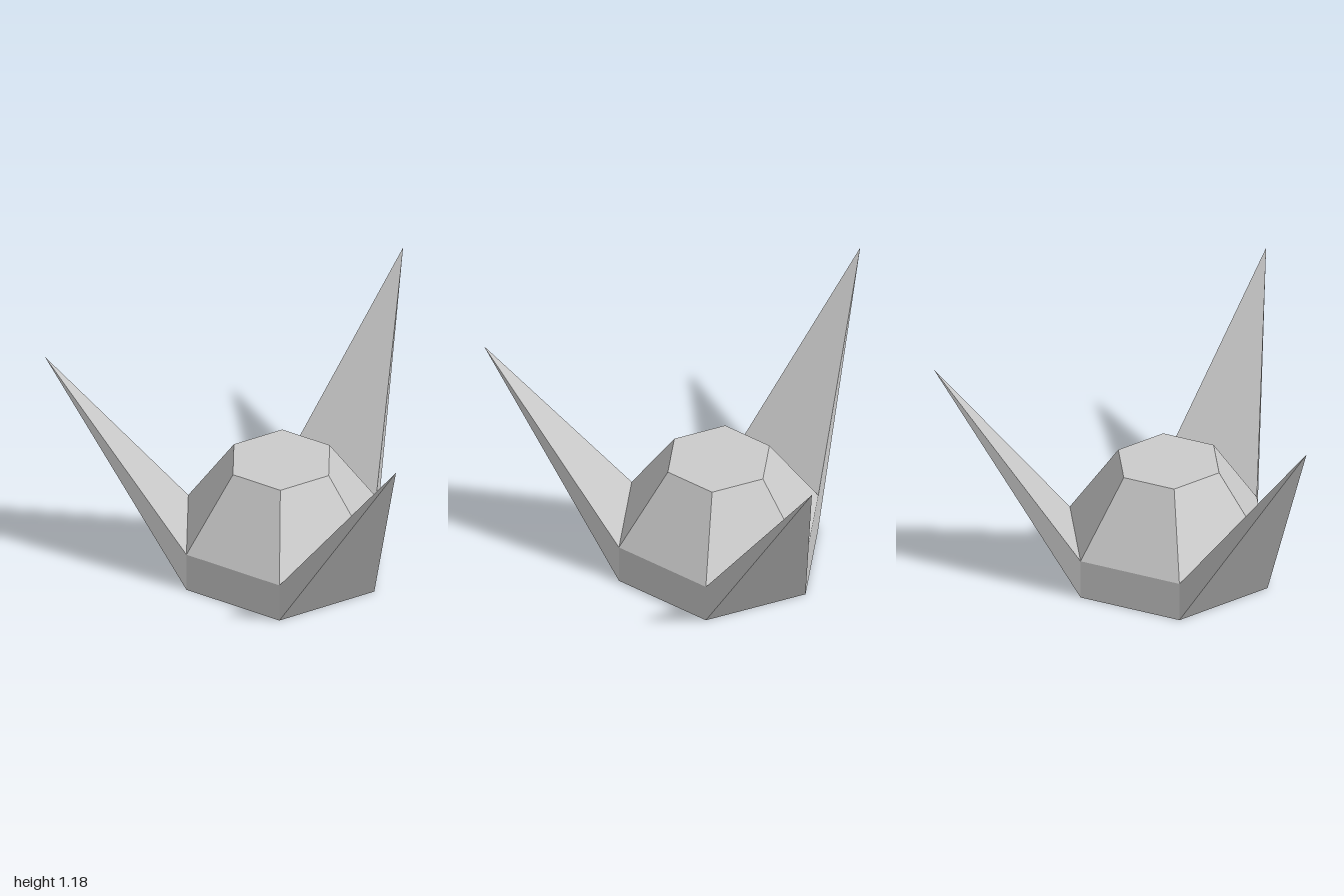
import * as THREE from 'three';

const RADIUS = 0.53, RIM_Y = 0.205, TOP_RADIUS = 0.27, TOP_Y = 0.59;
const TIP_REACH = 1.155, TIP_Y = 1.18;

// Four-sided spike growing outward (+z) from one side panel of the hexagonal base
function spikeGeometry() {
  const w = RADIUS / 2, d = RADIUS * Math.cos(Math.PI / 6);
  const corners = [[-w, 0, d], [w, 0, d], [w, RIM_Y, d], [-w, RIM_Y, d]];
  const tip = [0, TIP_Y, TIP_REACH];
  const positions = corners.flatMap((c, i) => [...c, ...corners[(i + 1) % 4], ...tip]);
  const geometry = new THREE.BufferGeometry();
  geometry.setAttribute('position', new THREE.Float32BufferAttribute(positions, 3));
  geometry.computeVertexNormals();
  return geometry;
}

export function createModel() {
  const group = new THREE.Group();
  const material = new THREE.MeshStandardMaterial({ color: 0xcccccc, flatShading: true });

  // Hexagonal body: straight base with a tapered, flat-topped dome
  const profile = [[0, 0], [RADIUS, 0], [RADIUS, RIM_Y], [TOP_RADIUS, TOP_Y], [0, TOP_Y]]
    .map(([r, y]) => new THREE.Vector2(r, y));
  const body = new THREE.Mesh(new THREE.LatheGeometry(profile, 6, Math.PI / 6), material);
  body.name = 'body';
  group.add(body);

  // Three spikes on alternate sides
  const spike = spikeGeometry();
  const angles = { leftSpike: Math.PI / 3, rightSpike: -Math.PI / 3, backSpike: Math.PI };
  for (const [name, angle] of Object.entries(angles)) {
    const mesh = new THREE.Mesh(spike, material);
    mesh.name = name;
    mesh.rotation.y = angle;
    group.add(mesh);
  }

  // Centre the overall footprint on z = 0
  for (const part of group.children) part.position.z = TIP_REACH / 4;
  return group;
}
